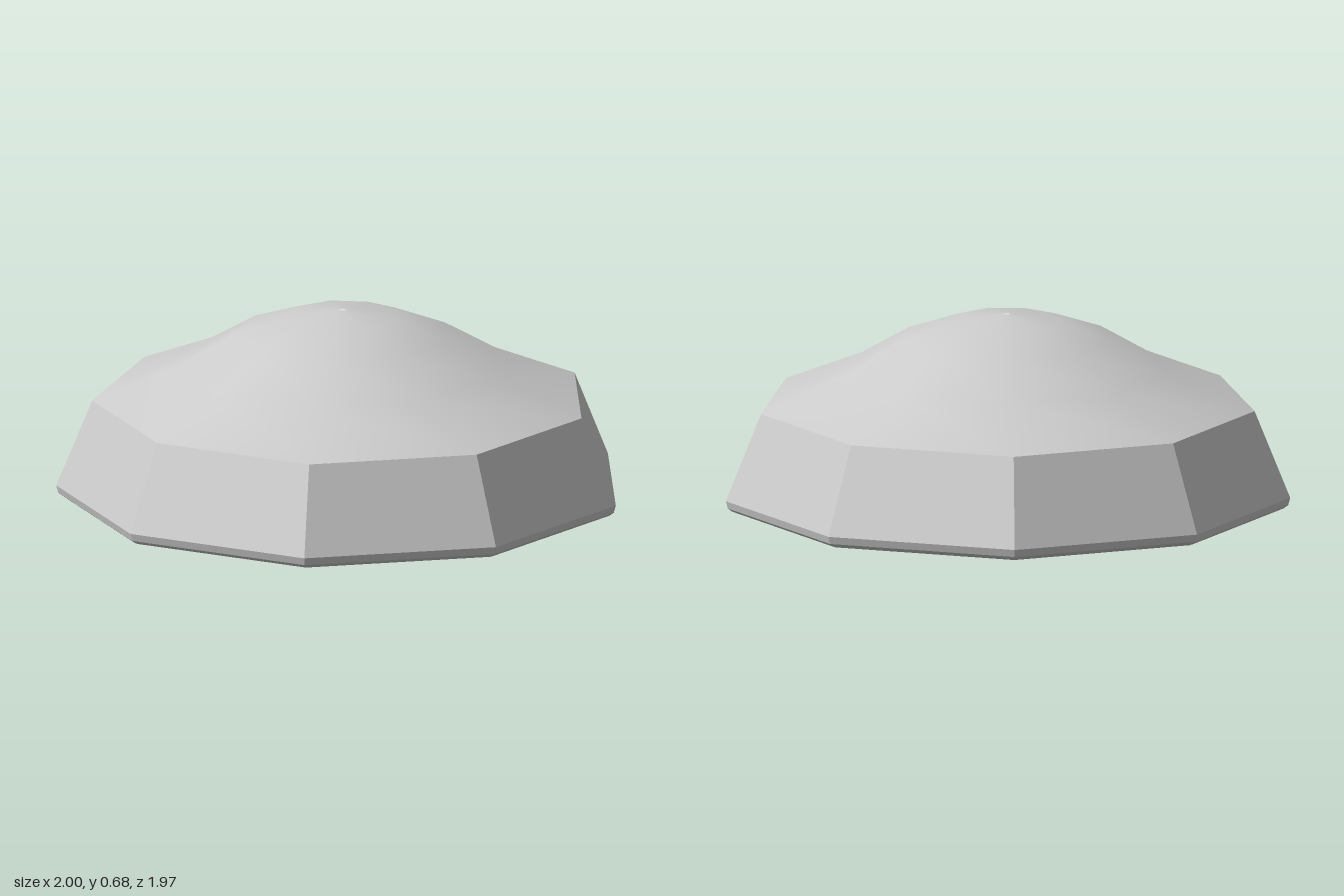
import * as THREE from 'three';

const SIDES = 9;

// Nine-sided turned surface; profile is [radius, height], outside on the right of its direction
function turned(name, profile, flatShading) {
  const points = profile.map(([r, y]) => new THREE.Vector2(r, y));
  const geometry = new THREE.LatheGeometry(points, SIDES);
  const material = new THREE.MeshStandardMaterial({ color: 0xcccccc, flatShading });
  const mesh = new THREE.Mesh(geometry, material);
  mesh.name = name;
  return mesh;
}

export function createModel() {
  const model = new THREE.Group();
  model.name = 'facetedDome';

  const body = new THREE.Group();
  body.name = 'body';
  // a corner points forward, so the axis sits slightly behind the centre
  body.position.z = -0.031;
  model.add(body);

  body.add(
    // smooth dome with a pinhole at the top
    turned('dome', [
      [0.888, 0.355], [0.584, 0.48], [0.391, 0.592], [0.198, 0.66], [0.012, 0.68],
    ], false),

    // sloping facets around the side
    turned('sideWall', [[1.0155, 0.045], [0.888, 0.355]], true),

    // rounded foot and flat standing ring
    turned('footRim', [
      [0.9, 0], [0.975, 0], [0.992, 0.006], [1.008, 0.018], [1.0155, 0.045],
    ], true),

    // slope from the standing ring up into the base
    turned('underSlope', [[0.77, 0.127], [0.9, 0]], false),

    // flat underside with a bevelled recess in the middle
    turned('undersideRecess', [
      [0, 0.375], [0.385, 0.375], [0.443, 0.315], [0.443, 0.127], [0.77, 0.127],
    ], true),
  );

  return model;
}
